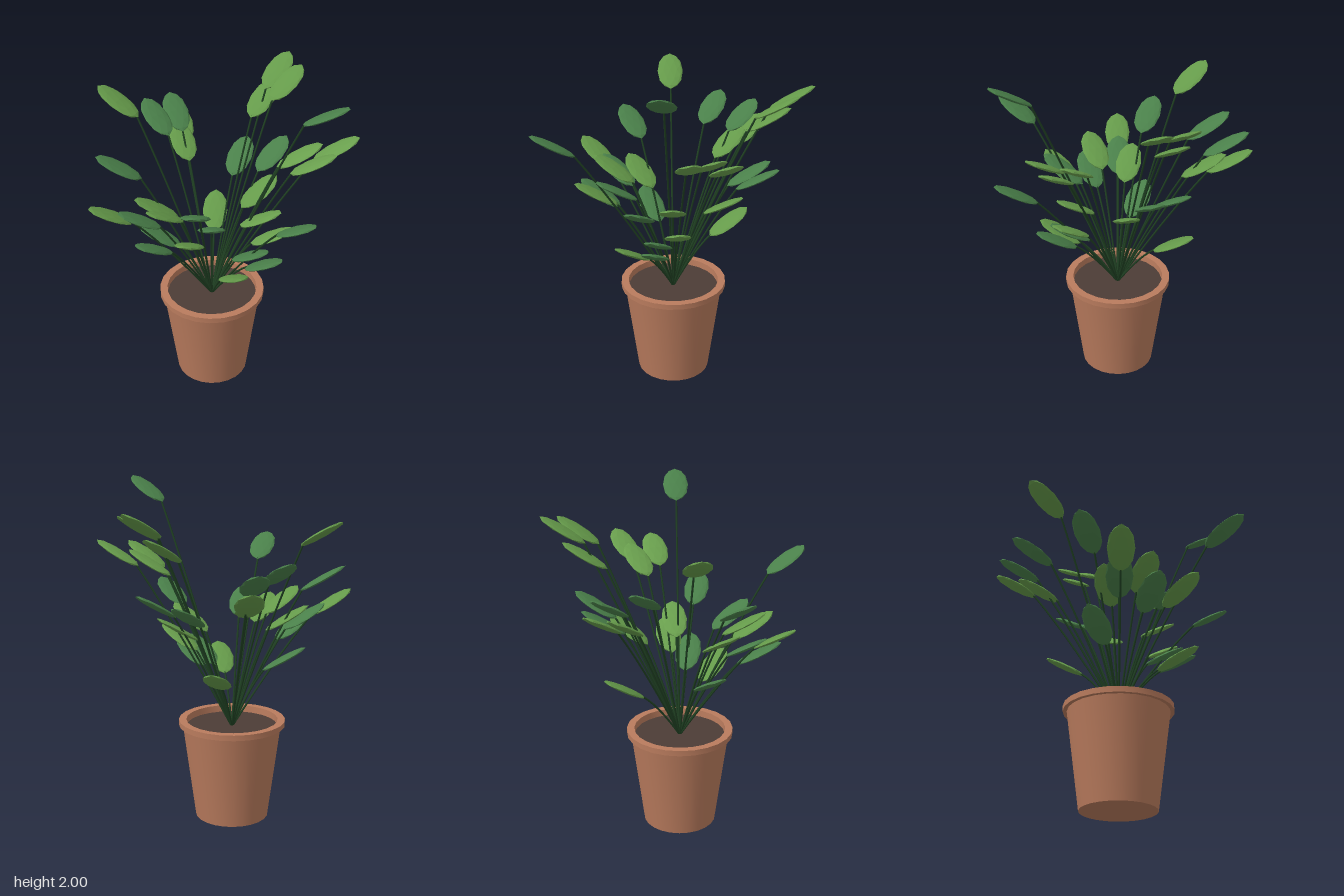
import * as THREE from 'three';
import { toCreasedNormals } from 'three/addons/utils/BufferGeometryUtils.js';

const mat = (color, extra = {}) => new THREE.MeshStandardMaterial({ color, ...extra });
const ROOT = new THREE.Vector3(-0.043, 0.55, -0.037);
const TILT = 0.53; // upward slope of the leaves
const LEAF = { halfWidth: 0.077, halfThickness: 0.016, halfLength: 0.146 };

// leaf centres: x, y, z
const YELLOW_GREEN = [
  [-0.275, 1.735, -0.56], [0.135, 1.36, -0.49], [0.22, 1.41, -0.61], [-0.62, 1.28, -0.22],
  [-0.32, 1.21, -0.195], [0.215, 0.92, -0.29], [0.475, 1.65, -0.16], [0.6, 1.79, -0.165],
  [0.555, 1.765, -0.045], [0.285, 1.17, 0.02], [-0.41, 1.28, -0.01], [-0.42, 1.2, 0.205],
  [-0.165, 0.895, 0.28],
];
const LIGHT_GREEN = [
  [0.07, 1.18, 0.25], [0.12, 1.06, 0.295], [0.31, 1.52, 0.305], [0.25, 1.55, 0.46],
  [0.445, 1.57, 0.45],
];
const DEEP_GREEN = [
  [0, 1.54, -0.565], [0.18, 1.5, -0.6], [-0.445, 1.455, -0.36], [-0.46, 1.2, -0.175],
  [-0.27, 0.98, -0.24], [0.355, 1.285, -0.22], [0.46, 1.33, -0.05], [-0.5, 1.11, -0.005],
  [-0.28, 1.25, 0.225], [-0.565, 1.55, 0.425], [-0.015, 0.97, 0.26], [0.005, 0.945, 0.35],
  [0.015, 1.285, 0.575], [0.16, 1.925, 0.605],
];

// Shared low-poly lens, long axis along z
const leafGeometry = new THREE.IcosahedronGeometry(1, 1)
  .scale(LEAF.halfWidth, LEAF.halfThickness, LEAF.halfLength);
const stemMaterial = mat(0x1f4022);

function makeFrond([x, y, z], leafMaterial) {
  const frond = new THREE.Group();
  frond.name = 'frond';

  const yaw = Math.atan2(x - ROOT.x, z - ROOT.z);
  const leaf = new THREE.Mesh(leafGeometry, leafMaterial);
  leaf.name = 'leaf';
  leaf.position.set(x, y, z);
  leaf.rotation.set(-TILT, yaw, 0, 'YXZ');

  // Stem rises from the soil and bows out gently into the inner leaf tip
  const outward = new THREE.Vector3(
    Math.sin(yaw) * Math.cos(TILT), Math.sin(TILT), Math.cos(yaw) * Math.cos(TILT));
  const tip = leaf.position.clone().addScaledVector(outward, -LEAF.halfLength * 0.9);
  const bend = ROOT.clone().lerp(tip, 0.6);
  bend.y += 0.05;
  const curve = new THREE.QuadraticBezierCurve3(ROOT, bend, tip);
  const stem = new THREE.Mesh(new THREE.TubeGeometry(curve, 8, 0.006, 5), stemMaterial);
  stem.name = 'stem';

  frond.add(leaf, stem);
  return frond;
}

function makePot() {
  const pot = new THREE.Group();
  pot.name = 'pot';
  pot.position.set(ROOT.x, 0, ROOT.z);

  // Tapered wall, overhanging rim and inner wall in one profile
  const profile = [
    [0, 0], [0.218, 0], [0.293, 0.567], [0.316, 0.567], [0.316, 0.6], [0.272, 0.6], [0.268, 0.53],
  ].map(([r, h]) => new THREE.Vector2(r, h));
  const shell = new THREE.Mesh(
    toCreasedNormals(new THREE.LatheGeometry(profile, 24), 0.6),
    mat(0xb97b5d, { side: THREE.DoubleSide }));
  shell.name = 'potShell';

  const soil = new THREE.Mesh(new THREE.CylinderGeometry(0.27, 0.265, 0.02, 24), mat(0x4c3c36));
  soil.name = 'soil';
  soil.position.y = 0.55;

  pot.add(shell, soil);
  return pot;
}

export function createModel() {
  const model = new THREE.Group();
  model.name = 'pottedPlant';
  model.add(makePot());

  const foliage = new THREE.Group();
  foliage.name = 'foliage';
  for (const [centres, color] of [
    [YELLOW_GREEN, 0x659a4a], [LIGHT_GREEN, 0x6aa04e], [DEEP_GREEN, 0x4a804a],
  ]) {
    const leafMaterial = mat(color, { flatShading: true });
    for (const centre of centres) foliage.add(makeFrond(centre, leafMaterial));
  }
  model.add(foliage);
  return model;
}
